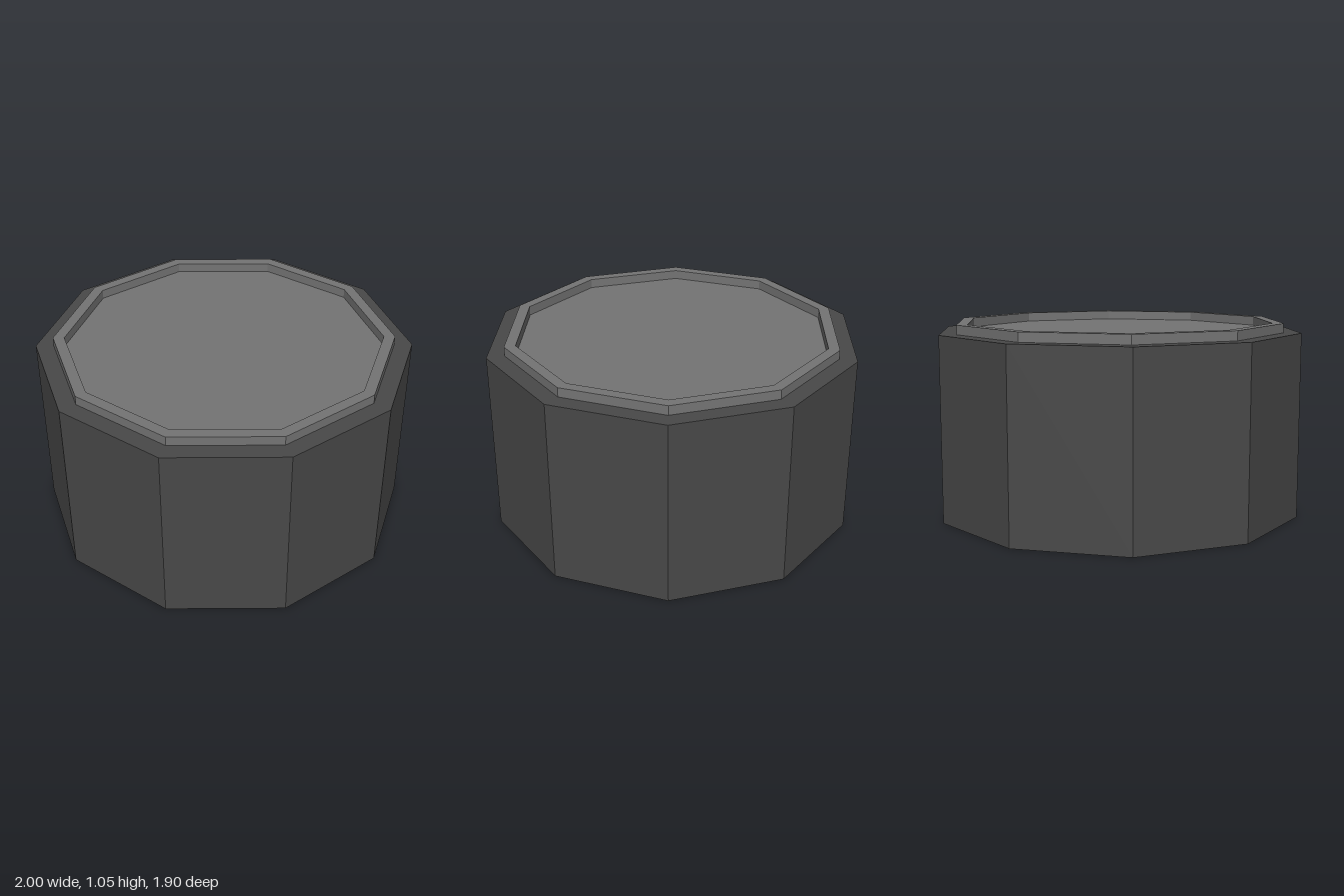
import * as THREE from 'three';

const SIDES = 10;

// Ten-sided turned part; profile points are [radius, height].
function turned(name, profile, material) {
  const points = profile.map(([r, y]) => new THREE.Vector2(r, y));
  const geometry = new THREE.LatheGeometry(points, SIDES, Math.PI / 2, Math.PI * 2);
  const mesh = new THREE.Mesh(geometry, material);
  mesh.name = name;
  return mesh;
}

export function createModel() {
  const group = new THREE.Group();
  group.name = 'can';
  const dark = new THREE.MeshStandardMaterial({ color: 0x484848, flatShading: true });
  const light = new THREE.MeshStandardMaterial({ color: 0x747474, flatShading: true });

  const body = 1, rim = 0.905, inner = 0.845;
  const top = 1, rimTop = 1.05, recess = 0.085;

  group.add(
    // Outer wall with the flat ledges above and below
    turned('body', [[rim, 0], [body, 0], [body, top], [rim, top]], dark),
    // Raised rim around a sunken lid
    turned('lid', [[rim, top], [rim, rimTop], [inner, rimTop], [inner, top], [0, top]], light),
    // Hollow underside
    turned('baseRim', [[rim, recess], [rim, 0]], light),
    turned('baseFloor', [[0, recess], [rim, recess]], dark)
  );
  return group;
}
